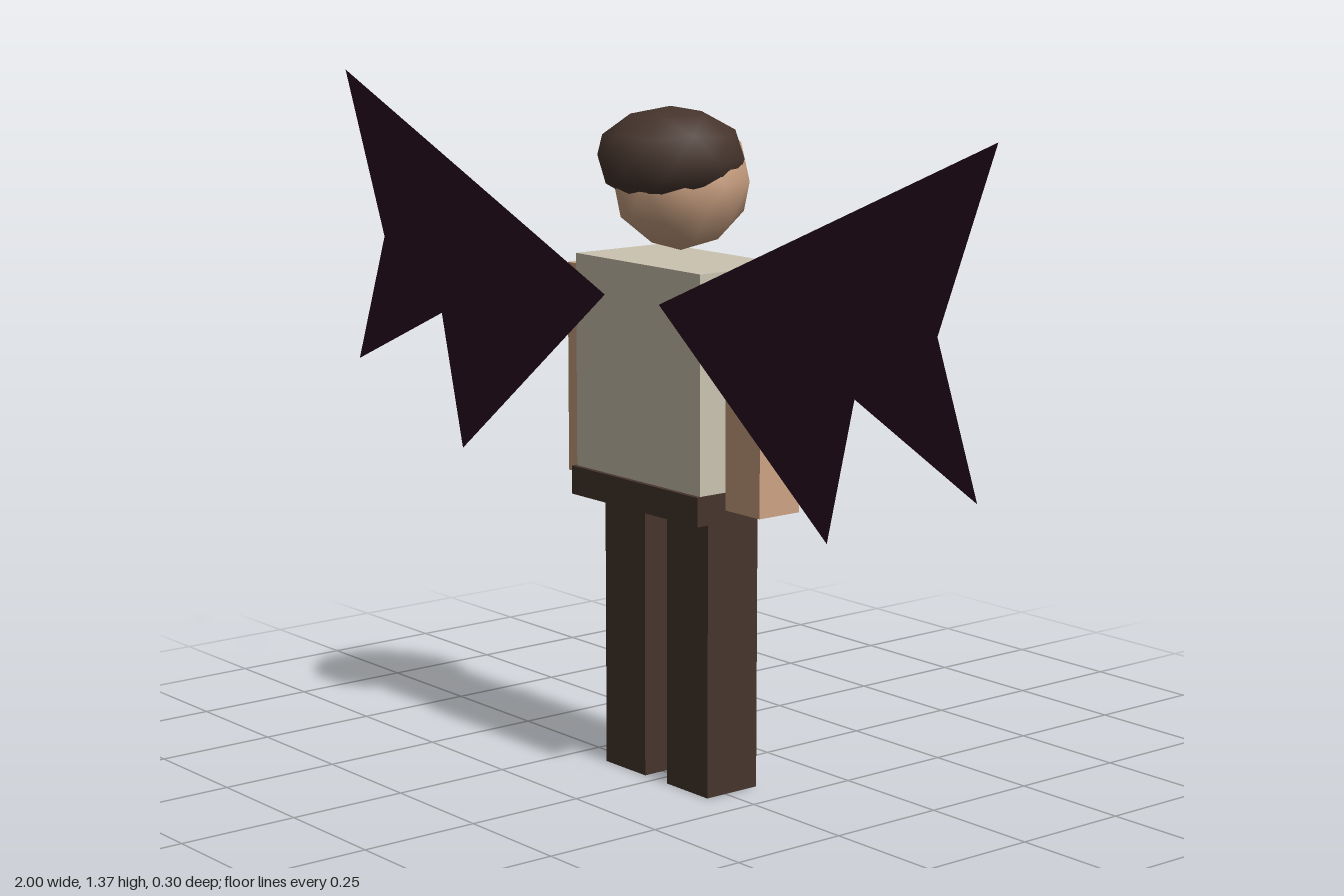
import * as THREE from 'three';
import { mergeVertices } from 'three/addons/utils/BufferGeometryUtils.js';

export function createModel() {
  const root = new THREE.Group();
  root.name = 'wingedFigure';

  const mat = (name, color, side = THREE.FrontSide) => {
    const m = new THREE.MeshStandardMaterial({ color, side });
    m.name = name;
    return m;
  };
  const skin = mat('skin', 0xcca283);
  const shirt = mat('shirt', 0xcbc3b1);
  const brown = mat('darkBrown', 0x46352d);
  const purple = mat('darkPurple', 0x2d0d22, THREE.DoubleSide);

  const add = (name, geometry, material) => {
    const mesh = new THREE.Mesh(geometry, material);
    mesh.name = name;
    root.add(mesh);
    return mesh;
  };

  // Box given by its extents along each axis
  const box = (name, [x0, x1], [y0, y1], [z0, z1], material) =>
    add(name, new THREE.BoxGeometry(x1 - x0, y1 - y0, z1 - z0), material)
      .position.set((x0 + x1) / 2, (y0 + y1) / 2, (z0 + z1) / 2);

  // Low-poly ball standing on one of its vertices, smoothly shaded
  const ball = (name, radii, centre, material) => {
    let g = new THREE.IcosahedronGeometry(1, 1);
    g.rotateZ(-Math.atan(2 / (1 + Math.sqrt(5))));
    g.rotateY(Math.PI / 2);
    g.scale(...radii);
    g.deleteAttribute('uv');
    g.deleteAttribute('normal');
    g = mergeVertices(g, 1e-4);
    g.computeVertexNormals();
    add(name, g, material).position.set(...centre);
  };

  // Body
  box('torso', [-0.195, 0.195], [0.565, 1.057], [-0.129, 0.094], shirt);
  box('waistband', [-0.2, 0.2], [0.566, 0.624], [-0.136, 0.104], brown);

  // Head and cap of hair
  ball('head', [0.139, 0.139, 0.139], [0, 1.213, -0.017], skin);
  ball('hair', [0.149, 0.099, 0.149], [0, 1.26, 0.009], brown);

  // Wing outline for the left side, mirrored for the right
  const wing = [
    [0.085, 0.987], [0.577, 0.602], [0.648, 0.882],
    [0.966, 0.743], [0.86, 1.023], [1.0, 1.373],
  ];

  for (const [side, s] of [['left', 1], ['right', -1]]) {
    const span = (a, b) => (s > 0 ? [a, b] : [-b, -a]);
    box(side + 'Arm', span(0.2, 0.302), [0.59, 1.022], [-0.067, 0.034], skin);
    box(side + 'Leg', span(0.035, 0.163), [0, 0.567], [-0.08, 0.047], brown);

    const shape = new THREE.Shape(wing.map(([x, y]) => new THREE.Vector2(s * x, y)));
    add(side + 'Wing', new THREE.ShapeGeometry(shape), purple).position.z = 0.107;
  }

  return root;
}
